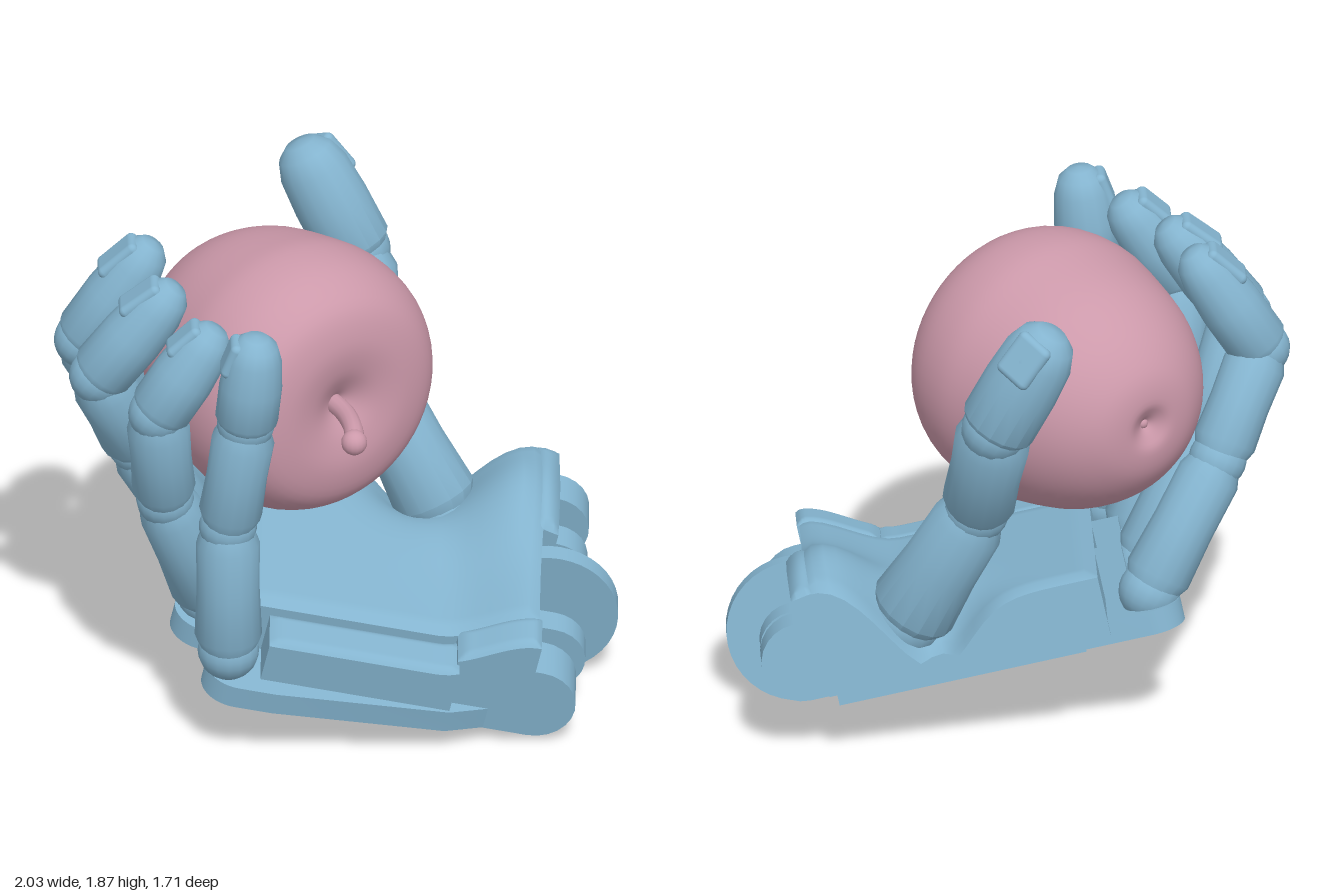
import * as THREE from 'three';
import { toCreasedNormals } from 'three/addons/utils/BufferGeometryUtils.js';
import { RoundedBoxGeometry } from 'three/addons/geometries/RoundedBoxGeometry.js';

const V = (x, y, z) => new THREE.Vector3(x, y, z);
const blue = new THREE.MeshStandardMaterial({ color: 0x84b4cf });
const pink = new THREE.MeshStandardMaterial({ color: 0xcc99aa });

function add(parent, name, geometry, material = blue) {
  const mesh = new THREE.Mesh(geometry, material);
  mesh.name = name;
  parent.add(mesh);
  return mesh;
}

function lathe(points, sides) {
  return new THREE.LatheGeometry(points.map(p => new THREE.Vector2(...p)), sides);
}

// One finger bone from a to b; its z side, with the nail, faces outward
function bone(parent, name, a, b, r0, r1, outward, isTip) {
  const y = b.clone().sub(a);
  const L = y.length();
  y.normalize();
  const z = outward.clone().addScaledVector(y, -outward.dot(y)).normalize();
  const x = y.clone().cross(z);
  const group = new THREE.Group();
  group.name = name;
  const profile = isTip
    ? [[0, 0], [r0 * 0.85, 0], [r0, 0.03], [r0, L * 0.45], [r1, L * 0.75], [r1 * 0.8, L * 0.9], [r1 * 0.45, L * 0.98], [0, L]]
    : [[0, 0], [r0 * 0.75, 0], [r0, 0.07], [(r0 + r1) / 2 * 0.96, L * 0.5], [r1, L - 0.07], [r1 * 0.8, L - 0.01], [0, L - 0.01]];
  add(group, name + 'Shell', toCreasedNormals(lathe(profile, 16), 0.7)).scale.z = 0.94;
  add(group, 'joint', new THREE.SphereGeometry(r0 * 0.86, 16, 12));
  if (isTip) {
    const nail = add(group, 'nail', new RoundedBoxGeometry(r1 * 1.1, L * 0.38, 0.05, 3, 0.024));
    nail.position.set(0, L * 0.75, r1 * 0.74);
    nail.rotation.x = -0.25;
  }
  group.applyMatrix4(new THREE.Matrix4().makeBasis(x, y, z).setPosition(a));
  parent.add(group);
}

function digit(parent, name, points, radii, outward) {
  const p = points.map(q => V(...q));
  const group = new THREE.Group();
  group.name = name;
  ['lowerBone', 'middleBone', 'tipBone'].forEach((part, i) =>
    bone(group, part, p[i], p[i + 1], radii[i], radii[i + 1], outward, i === 2));
  parent.add(group);
}

// Height of the palm: rise to the wrist, thumb mound, scoop for the thumb root
function palmHeight(u, v) {
  const bell = t => Math.exp(-t * t);
  const rise = 0.14 * THREE.MathUtils.smoothstep(-v, 0.25, 0.6);
  const mound = 0.12 * bell((u - 0.36) / 0.28) * bell((v + 0.47) / 0.2);
  const scoop = 0.22 * bell((u - 0.6) / 0.22) * bell((v + 0.18) / 0.19);
  return 0.29 + rise + mound - scoop;
}

// Block whose top follows palmHeight, with softened rims
function palmBlock(parent, name, u0, u1, v0, v1, bottom, lift = 0) {
  const g = new THREE.BoxGeometry(u1 - u0, v1 - v0, 1, 24, 24, 1);
  g.translate((u0 + u1) / 2, (v0 + v1) / 2, 0);
  const p = g.attributes.position;
  for (let i = 0; i < p.count; i++) {
    const u = p.getX(i), v = p.getY(i);
    const rim = Math.min(u - u0, u1 - u, v - v0, v1 - v);
    const soft = 0.02 * Math.max(0, 1 - rim / 0.04) ** 2;
    p.setZ(i, p.getZ(i) < 0 ? bottom : palmHeight(u, v) + lift - soft);
  }
  g.computeVertexNormals();
  add(parent, name, g);
}

function buildPalm() {
  // Local axes: x across to the thumb, y towards the fingers, z out of the palm
  const palm = new THREE.Group();
  palm.name = 'palm';

  // Back plate with a rounded lug under every finger
  const s = new THREE.Shape();
  s.moveTo(-0.46, -0.57);
  s.lineTo(0.62, -0.57);
  s.lineTo(0.62, 0.36);
  for (const [u, v] of [[0.47, 0.61], [0.13, 0.61], [-0.2, 0.58], [-0.5, 0.46]]) {
    s.lineTo(u + 0.125, 0.32);
    s.absarc(u, v, 0.125, 0, Math.PI, false);
    s.lineTo(u - 0.125, 0.32);
  }
  s.lineTo(-0.56, -0.33);
  add(palm, 'backPlate', toCreasedNormals(new THREE.ExtrudeGeometry(s, { depth: 0.09, bevelEnabled: false, curveSegments: 10 }), 0.6));

  palmBlock(palm, 'mainPalm', -0.35, 0.62, -0.6, 0.46, 0.04);
  palmBlock(palm, 'outerPalm', -0.55, -0.37, -0.33, 0.38, 0.04, -0.02);
  palmBlock(palm, 'outerHeel', -0.5, -0.33, -0.61, -0.32, 0.0);
  palmBlock(palm, 'wristHood', 0.14, 0.62, -0.66, -0.58, 0.34);

  // Cheeks between the knuckles
  for (const u of [0.295, -0.035]) {
    const cheek = add(palm, 'knuckleCheek', new THREE.BoxGeometry(0.06, 0.16, 0.2));
    cheek.position.set(u, 0.48, 0.17);
  }

  // Wrist hinge: lugs and the large disc between them
  const lugs = [[-0.4, 0.18, 0.15, -0.64, 0.14], [-0.19, 0.1, 0.14, -0.68, 0.16], [0.3, 0.11, 0.14, -0.68, 0.17], [0.54, 0.14, 0.15, -0.67, 0.19]];
  for (const [u, width, r, v, t] of lugs) {
    const lug = add(palm, 'wristLug', new THREE.CylinderGeometry(r, r, width, 24));
    lug.rotation.z = Math.PI / 2;
    lug.position.set(u, v, t);
    const arm = add(palm, 'wristLugArm', new THREE.BoxGeometry(width, 0.24, r * 2));
    arm.position.set(u, v + 0.12, t);
  }
  const disc = add(palm, 'wristDisc', new THREE.CylinderGeometry(0.27, 0.27, 0.07, 40));
  disc.rotation.z = Math.PI / 2;
  disc.position.set(0.06, -0.67, 0.15);

  const n = V(0.06, 1, 0.275).normalize();
  const f = V(-0.81, 0.208, -0.58);
  f.addScaledVector(n, -f.dot(n)).normalize();
  palm.applyMatrix4(new THREE.Matrix4().makeBasis(f.clone().cross(n), f, n).setPosition(0, 0.25, 0));
  return palm;
}

function buildApple() {
  const apple = new THREE.Group();
  apple.name = 'apple';
  const outline = new THREE.SplineCurve([
    [0.001, -0.43], [0.05, -0.465], [0.11, -0.485], [0.22, -0.455], [0.34, -0.355], [0.435, -0.2], [0.49, 0],
    [0.512, 0.15], [0.485, 0.31], [0.4, 0.435], [0.27, 0.48], [0.15, 0.47], [0.06, 0.43], [0.001, 0.39],
  ].map(p => new THREE.Vector2(...p)));
  const body = add(apple, 'appleBody', new THREE.LatheGeometry(outline.getPoints(56), 56), pink);
  body.quaternion.setFromUnitVectors(V(0, 1, 0), V(-0.04, 0, 1).normalize());
  body.position.set(-0.185, 1.305, -0.27);
  const path = new THREE.CatmullRomCurve3([V(-0.21, 1.3, 0.05), V(-0.23, 1.3, 0.22), V(-0.28, 1.3, 0.34), V(-0.32, 1.29, 0.4)]);
  add(apple, 'stem', new THREE.TubeGeometry(path, 16, 0.036, 12), pink);
  const stemEnd = add(apple, 'stemEnd', new THREE.SphereGeometry(0.048, 16, 12), pink);
  stemEnd.position.set(-0.325, 1.288, 0.405);
  const end = add(apple, 'blossomEnd', new THREE.SphereGeometry(0.022, 12, 8), pink);
  end.position.set(-0.168, 1.305, -0.7);
  return apple;
}

export function createModel() {
  const model = new THREE.Group();
  model.name = 'handHoldingApple';
  model.add(buildPalm(), buildApple());

  const r = [0.132, 0.125, 0.124, 0.11];
  const back = V(-0.81, 0.2, -0.58);
  digit(model, 'frontFinger', [[-0.72, 0.44, 0.16], [-0.73, 0.97, 0.17], [-0.7, 1.42, 0.24], [-0.68, 1.8, 0.28]], r, back);
  digit(model, 'secondFinger', [[-0.57, 0.48, -0.16], [-0.8, 0.98, -0.12], [-0.89, 1.4, -0.05], [-0.7, 1.75, 0.07]], r, back);
  digit(model, 'thirdFinger', [[-0.39, 0.54, -0.44], [-0.68, 1.02, -0.45], [-0.89, 1.4, -0.41], [-0.66, 1.78, -0.23]], r, back);
  digit(model, 'rearFinger', [[-0.21, 0.59, -0.69], [-0.52, 1.04, -0.71], [-0.77, 1.4, -0.66], [-0.56, 1.81, -0.5]], r, back);
  digit(model, 'thumb', [[0.49, 0.48, -0.13], [0.35, 0.98, -0.37], [0.42, 1.42, -0.56], [0.28, 1.85, -0.73]],
    [0.165, 0.14, 0.145, 0.135], V(0.85, 0.3, -0.3));
  return model;
}
